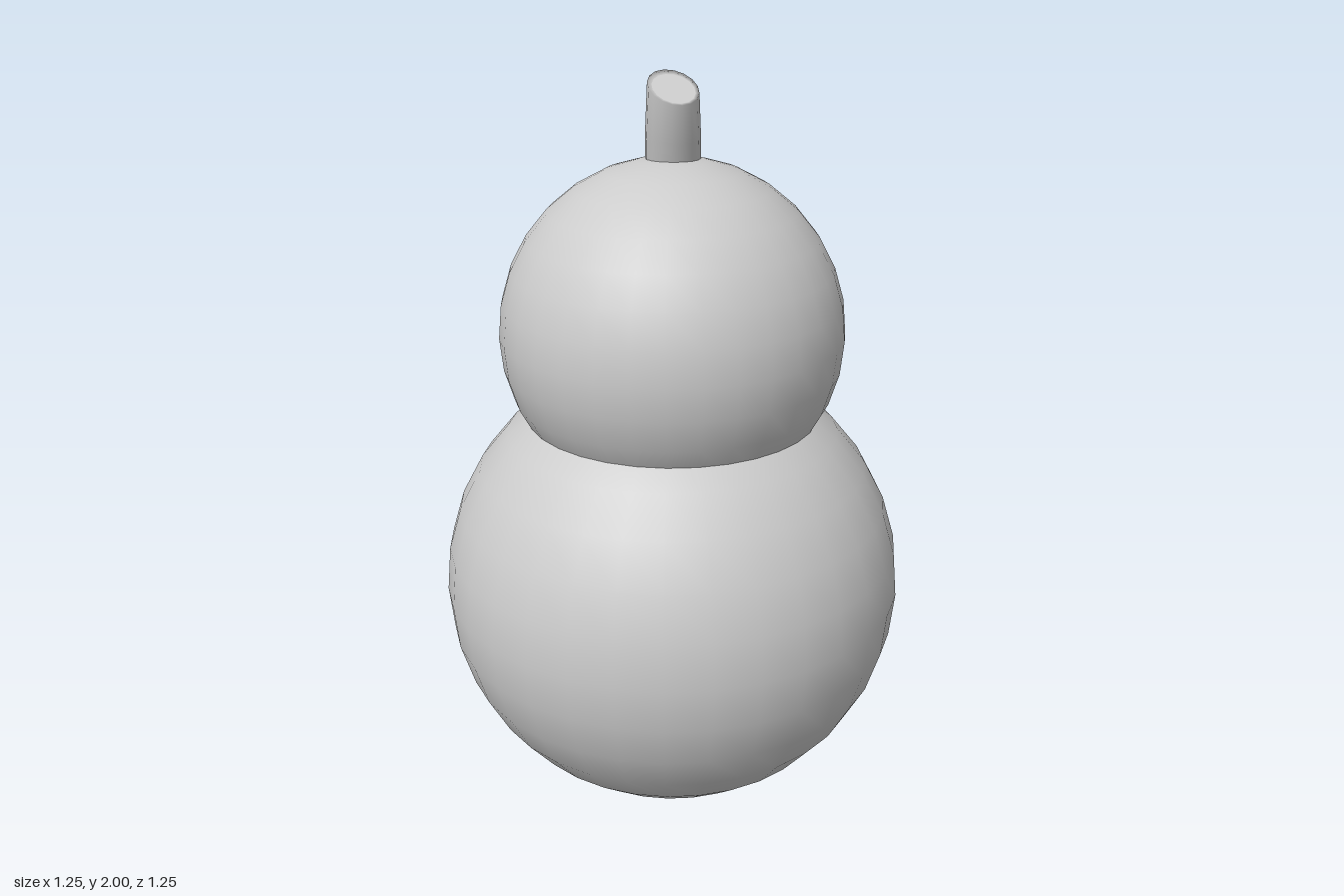
import * as THREE from 'three';
import { mergeVertices } from 'three/addons/utils/BufferGeometryUtils.js';

const material = new THREE.MeshStandardMaterial({ color: 0xcccccc });

function addMesh(group, name, geometry, y = 0) {
  const mesh = new THREE.Mesh(geometry, material);
  mesh.name = name;
  mesh.position.y = y;
  group.add(mesh);
}

// Turned profile of [radius, t] points, leaned forward and cut at a slant towards the tip
function leaningLathe(points) {
  const profile = points.map(([r, t]) => new THREE.Vector2(r, t));
  const geometry = new THREE.LatheGeometry(profile, 16);
  const p = geometry.attributes.position;
  for (let i = 0; i < p.count; i++) {
    const x = p.getX(i), t = p.getY(i), z = p.getZ(i);
    p.setXYZ(i, x + 0.009 - 0.018 * t, 1.79 + 0.177 * t - 0.54 * z * t, z - 0.02 + 0.05 * t);
  }
  geometry.deleteAttribute('uv');
  geometry.deleteAttribute('normal');
  const welded = mergeVertices(geometry);
  welded.computeVertexNormals();
  return welded;
}

export function createModel() {
  const model = new THREE.Group();
  model.name = 'gourd';

  // Two overlapping round bodies
  addMesh(model, 'lowerBody', new THREE.SphereGeometry(0.627, 32, 16), 0.627);
  addMesh(model, 'upperBody', new THREE.SphereGeometry(0.453, 32, 16), 1.34);

  // Stem with a soft rim, and the cut face set just inside it
  const stem = new THREE.Group();
  stem.name = 'stem';
  addMesh(stem, 'stemWall', leaningLathe([[0.071, -0.4], [0.07, 0.3], [0.064, 1], [0.053, 0.98]]));
  addMesh(stem, 'stemCutFace', leaningLathe([[0.053, 0.98], [0, 0.98]]));
  model.add(stem);

  return model;
}
